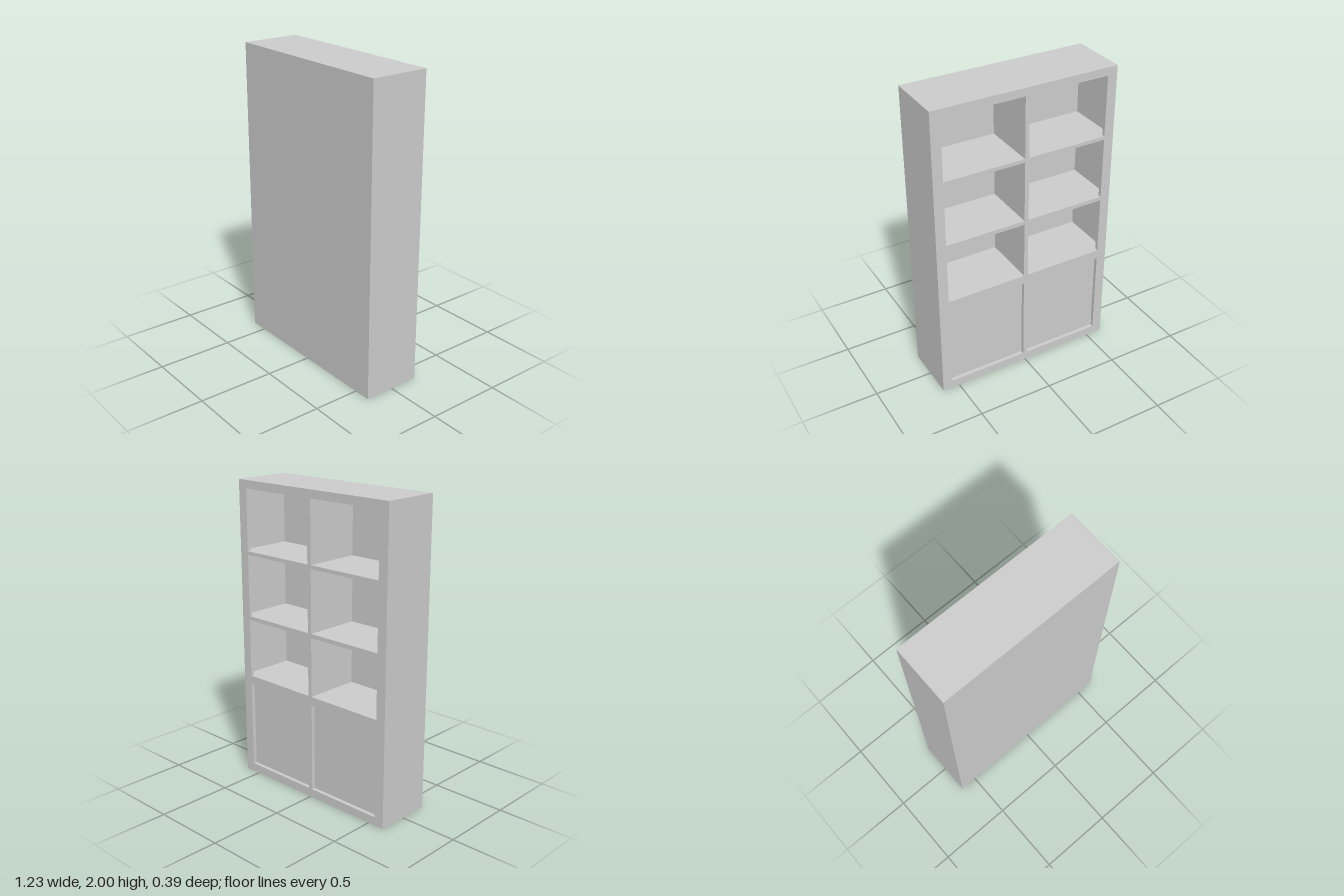
import * as THREE from 'three';

const W = 1.23, H = 2, D = 0.388;      // overall size
const SKIN = 0.015;                    // side, back and floor thickness
const FRAME = 0.022;                   // face frame depth
const STILE = 0.065, MULLION = 0.028;  // outer and middle uprights of the frame

// Openings as [bottom, top], from the cupboards up to the highest shelf
const ROWS = [[0.057, 0.641], [0.7, 1.088], [1.115, 1.523], [1.547, 1.947]];

export function createModel() {
  const group = new THREE.Group();
  const material = new THREE.MeshStandardMaterial({ color: 0xcccccc });

  const add = (name, geometry) => {
    const mesh = new THREE.Mesh(geometry, material);
    mesh.name = name;
    group.add(mesh);
    return mesh;
  };
  // Box given by its limits on each axis
  const box = (name, x0, x1, y0, y1, z0, z1) =>
    add(name, new THREE.BoxGeometry(x1 - x0, y1 - y0, z1 - z0))
      .position.set((x0 + x1) / 2, (y0 + y1) / 2, (z0 + z1) / 2);

  const open = -D / 2;                 // the shelves open towards -z
  const inFrame = open + FRAME;
  const inBack = D / 2 - SKIN;
  const inX = W / 2 - SKIN;

  // Face frame with two columns of openings
  const outline = new THREE.Shape([
    new THREE.Vector2(-W / 2, 0), new THREE.Vector2(W / 2, 0),
    new THREE.Vector2(W / 2, H), new THREE.Vector2(-W / 2, H),
  ]);
  const columns = [
    [-W / 2 + STILE, -MULLION / 2],
    [MULLION / 2, W / 2 - STILE],
  ];
  for (const [x0, x1] of columns) {
    for (const [y0, y1] of ROWS) {
      outline.holes.push(new THREE.Path([
        new THREE.Vector2(x0, y0), new THREE.Vector2(x0, y1),
        new THREE.Vector2(x1, y1), new THREE.Vector2(x1, y0),
      ]));
    }
  }
  add('faceFrame', new THREE.ExtrudeGeometry(outline, { depth: FRAME, bevelEnabled: false }))
    .position.z = open;

  // Carcass
  box('backPanel', -W / 2, W / 2, 0, H, inBack, D / 2);
  box('rightSide', -W / 2, -inX, 0, H, inFrame, inBack);
  box('leftSide', inX, W / 2, 0, H, inFrame, inBack);
  box('topPanel', -inX, inX, ROWS[3][1], H, inFrame, inBack);
  box('floorPanel', -inX, inX, ROWS[0][0] - SKIN, ROWS[0][0], inFrame, inBack);

  // Shelves fill the gaps between rows, split by a divider in each row
  ROWS.forEach(([y0, y1], i) => {
    box('divider', -MULLION / 2, MULLION / 2, y0, y1, inFrame, inBack);
    if (i < 3) box('shelf', -inX, inX, y1, ROWS[i + 1][0], inFrame, inBack);
  });

  // Cupboard doors, set back behind the frame
  for (const [x0, x1] of columns) {
    box('door', x0, x1, ROWS[0][0], ROWS[0][1], open + 0.025, open + 0.04);
  }
  return group;
}
